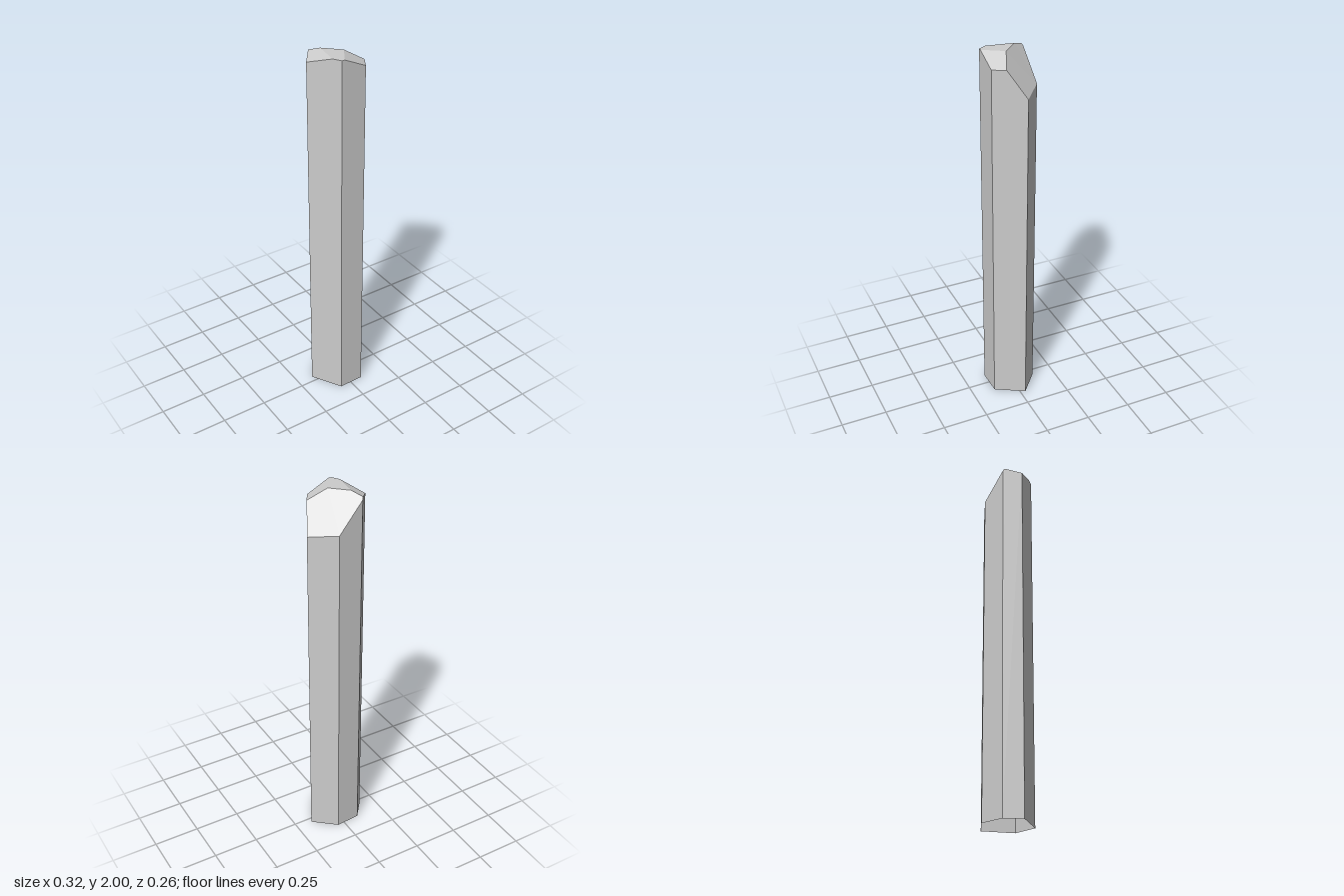
import * as THREE from 'three';

// Height of the cut tip: a flat top limited by three sloping cuts.
// Each cut: point on its upper edge, outward direction, steepness.
const cuts = [
  [0.015, 0.023, 0.707, -0.707, 1.45], // large back cut
  [-0.067, -0.058, -0.985, -0.17, 0.49], // left cut
  [0.015, 0.023, 0.85, 0.526, 0.57], // front cut
];
const tipHeight = (x, z) =>
  Math.min(2, ...cuts.map(([px, pz, nx, nz, s]) => 2 - s * ((x - px) * nx + (z - pz) * nz)));

// Plan points: the six corners, and where the cuts cross the walls or meet
const plan = {
  a: [-0.16, -0.035], h: [-0.09, 0.086], f: [-0.066, 0.128], j: [-0.05, 0.128],
  e: [0.072, 0.125], g: [0.108, 0.062], d: [0.16, -0.028], c: [0.04, -0.13],
  b: [-0.094, -0.118], k: [-0.1, -0.111], p: [0.015, 0.023], q: [-0.067, -0.058],
};
const top = (n) => [plan[n][0], tipHeight(...plan[n]), plan[n][1]];
const base = (n) => [plan[n][0], 0, plan[n][1]];

// Flat-shaded mesh from convex polygons
function facetMesh(name, polygons, material) {
  const positions = [];
  for (const poly of polygons)
    for (let i = 1; i < poly.length - 1; i++) positions.push(...poly[0], ...poly[i], ...poly[i + 1]);
  const geometry = new THREE.BufferGeometry();
  geometry.setAttribute('position', new THREE.Float32BufferAttribute(positions, 3));
  geometry.computeVertexNormals();
  const mesh = new THREE.Mesh(geometry, material);
  mesh.name = name;
  return mesh;
}

export function createModel() {
  const group = new THREE.Group();
  group.name = 'crystalColumn';
  const material = new THREE.MeshStandardMaterial({
    color: 0xcccccc, flatShading: true, side: THREE.DoubleSide,
  });

  // Six upright walls, open underneath; names run along each wall's top edge
  const walls = ['ahf', 'fje', 'egd', 'dc', 'cb', 'bka'].map((edge) => {
    const names = [...edge];
    return [base(names[0]), base(names.at(-1)), ...names.reverse().map(top)];
  });
  group.add(facetMesh('walls', walls, material));

  // Tip: flat top, left cut, front cut, back cut
  const facets = ['qhfjp', 'ahqk', 'pjeg', 'cbkqpgd'].map((face) => [...face].map(top));
  group.add(facetMesh('tip', facets, material));

  return group;
}
